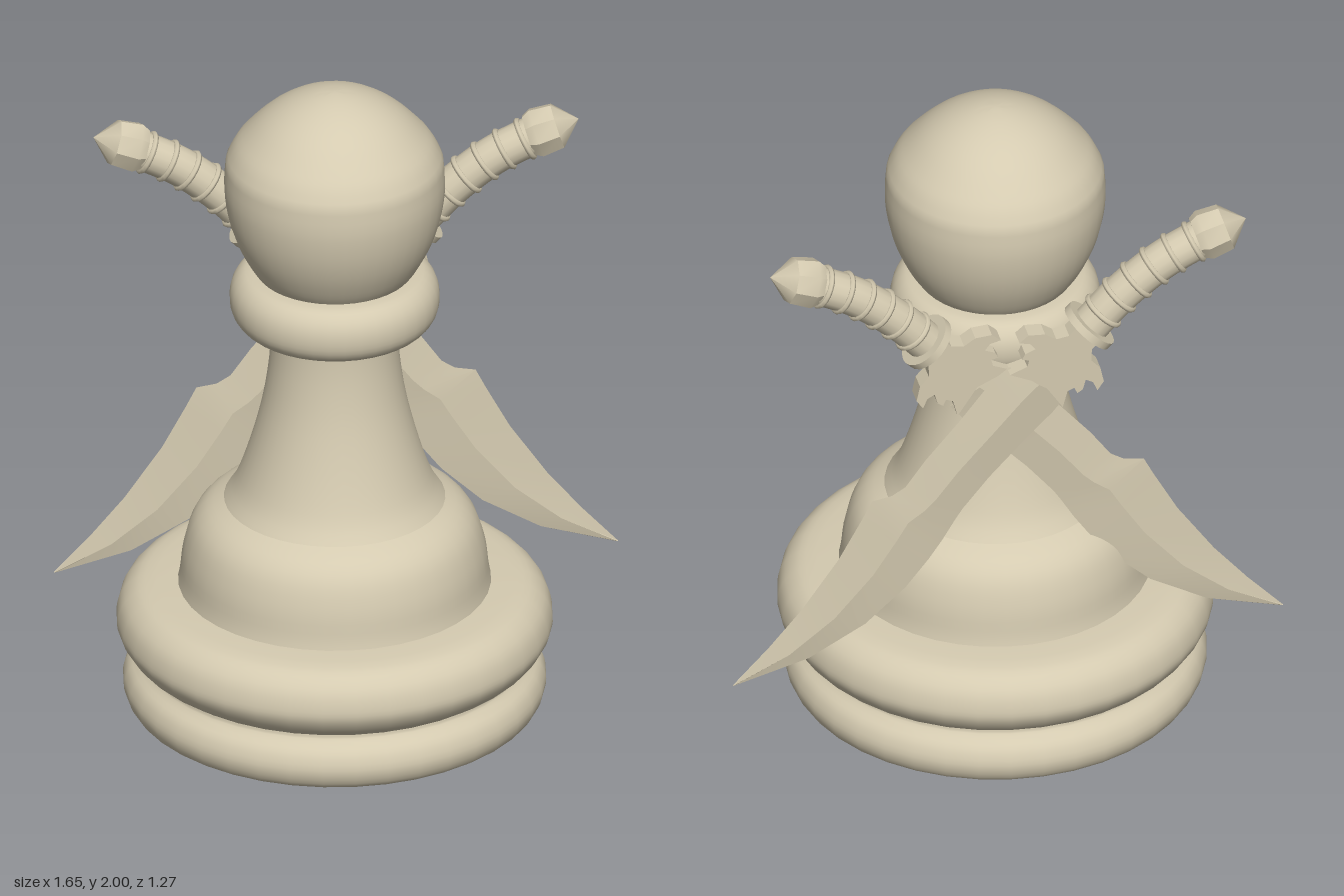
import * as THREE from 'three';
import { toCreasedNormals } from 'three/addons/utils/BufferGeometryUtils.js';

const ivory = new THREE.MeshStandardMaterial({ color: 0xd4cab0 });
ivory.name = 'ivory';

function part(name, geometry, parent) {
  const mesh = new THREE.Mesh(geometry, ivory);
  mesh.name = name;
  parent.add(mesh);
  return mesh;
}

// Smooth run through a few [radius, height] points
function run(points, steps) {
  return new THREE.SplineCurve(points.map(p => new THREE.Vector2(...p))).getPoints(steps);
}

function turned(name, profile, parent, sides = 40) {
  return part(name, toCreasedNormals(new THREE.LatheGeometry(profile, sides), 0.65), parent);
}

function makePawn() {
  const pawn = new THREE.Group();
  pawn.name = 'pawn';
  pawn.position.x = -0.04;
  const axis = y => new THREE.Vector2(0, y);

  turned('base', [axis(0), new THREE.Vector2(0.53, 0.005),
    ...run([[0.565, 0.01], [0.6, 0.03], [0.617, 0.08], [0.602, 0.13], [0.57, 0.16],
      [0.563, 0.18], [0.6, 0.205], [0.63, 0.25], [0.635, 0.29], [0.618, 0.345],
      [0.575, 0.385], [0.52, 0.397]], 36),
    new THREE.Vector2(0.44, 0.4)], pawn);

  turned('shoulder', run([[0.458, 0.39], [0.45, 0.43], [0.44, 0.51], [0.415, 0.59],
    [0.375, 0.64], [0.32, 0.672]], 16), pawn);

  turned('neck', run([[0.325, 0.667], [0.292, 0.72], [0.262, 0.8], [0.23, 0.91],
    [0.205, 1.02], [0.19, 1.13], [0.186, 1.22], [0.19, 1.26]], 20), pawn);

  turned('collar', [new THREE.Vector2(0.17, 1.25),
    ...run([[0.21, 1.243], [0.265, 1.25], [0.298, 1.285], [0.306, 1.335], [0.295, 1.38],
      [0.265, 1.412], [0.22, 1.42]], 20)], pawn);

  turned('head', [...run([[0.222, 1.41], [0.25, 1.45], [0.285, 1.52], [0.31, 1.6],
    [0.322, 1.69], [0.317, 1.775]], 16),
    ...run([[0.317, 1.775], [0.295, 1.82], [0.265, 1.858], [0.205, 1.918], [0.135, 1.964],
      [0.06, 1.992], [0, 2]], 16).slice(1)], pawn);
  return pawn;
}

// Diamond-section blade: each station is [back x, back y, edge x, edge y]
function bladeGeometry() {
  const stations = [
    [0, 1.3, -0.17, 1.17], [0.05, 1.26, -0.13, 1.12], [0.15, 1.13, -0.05, 1.04],
    [0.25, 1.01, 0.06, 0.92], [0.31, 0.925, 0.14, 0.82], [0.35, 0.9, 0.165, 0.78],
    [0.41, 0.89, 0.2, 0.72], [0.44, 0.83, 0.24, 0.66], [0.51, 0.7, 0.31, 0.57],
    [0.62, 0.54, 0.43, 0.46], [0.72, 0.42, 0.6, 0.365], [0.827, 0.305, 0.825, 0.303],
  ];
  const positions = [], index = [];
  stations.forEach(([ux, uy, lx, ly], i) => {
    const mx = (ux + lx) / 2, my = (uy + ly) / 2;
    const t = i === stations.length - 1 ? 0.001 : 0.018 - 0.0008 * i;
    positions.push(ux, uy, 0, mx, my, t, lx, ly, 0, mx, my, -t);
    if (i === 0) return;
    for (let k = 0; k < 4; k++) {
      const a = (i - 1) * 4 + k, b = (i - 1) * 4 + (k + 1) % 4;
      index.push(a, b, a + 4, b, b + 4, a + 4);
    }
  });
  index.push(0, 3, 1, 1, 3, 2);
  const g = new THREE.BufferGeometry();
  g.setAttribute('position', new THREE.Float32BufferAttribute(positions, 3));
  g.setIndex(index);
  return toCreasedNormals(g, 0.15);
}

// Flat guard with a hooked finger on each side, running along +x
function guardGeometry() {
  const half = [[0, 0.045], [0.05, 0.045], [0.08, 0.07], [0.085, 0.11], [0.115, 0.15],
    [0.15, 0.155], [0.135, 0.125], [0.14, 0.1], [0.17, 0.115], [0.19, 0.11], [0.18, 0.09],
    [0.2, 0.08], [0.25, 0.105]];
  const outline = [...half.map(([x, y]) => [x, -y]), [0.22, 0], ...half.slice().reverse()];
  const shape = new THREE.Shape(outline.map(p => new THREE.Vector2(...p)));
  const g = new THREE.ExtrudeGeometry(shape, { depth: 0.056, bevelEnabled: false });
  return g.translate(0, 0, -0.028);
}

function makeSword() {
  const sword = new THREE.Group();
  part('blade', bladeGeometry(), sword);

  const guard = part('guard', guardGeometry(), sword);
  guard.position.set(-0.24, 1.41, 0);
  guard.rotation.z = -0.85;

  // Curved grip with raised bands
  const path = new THREE.CatmullRomCurve3([[-0.24, 1.41], [-0.335, 1.51], [-0.455, 1.605],
    [-0.585, 1.673]].map(([x, y]) => new THREE.Vector3(x, y, 0)));
  part('grip', new THREE.TubeGeometry(path, 24, 0.058, 16), sword);

  const place = (mesh, t, from) => {
    mesh.position.copy(path.getPointAt(t));
    mesh.quaternion.setFromUnitVectors(from, path.getTangentAt(t));
  };
  const up = new THREE.Vector3(0, 1, 0), forward = new THREE.Vector3(0, 0, 1);
  for (let i = 0; i < 6; i++) {
    place(part('gripBand', new THREE.TorusGeometry(0.058, 0.009, 6, 20), sword),
      0.14 + i * 0.155, forward);
  }
  const disc = new THREE.CylinderGeometry(0.086, 0.086, 0.024, 24);
  place(part('guardRing', disc, sword), 0, up);

  // Faceted pommel
  const profile = [[0, -0.015], [0.062, -0.015], [0.076, 0.01], [0.07, 0.075], [0, 0.14]]
    .map(p => new THREE.Vector2(...p));
  const pommel = turned('pommel', profile, sword, 8);
  pommel.position.set(-0.575, 1.672, 0);
  pommel.quaternion.setFromUnitVectors(up, new THREE.Vector3(-0.95, 0.3, 0).normalize());
  return sword;
}

export function createModel() {
  const model = new THREE.Group();
  model.name = 'pawnWithSwords';
  model.add(makePawn());

  // Two swords crossed behind the pawn
  [['rearSword', -0.325, 0], ['innerSword', -0.297, Math.PI]].forEach(([name, z, turn]) => {
    const sword = makeSword();
    sword.name = name;
    sword.position.set(-0.004, 0, z);
    sword.rotation.y = turn;
    model.add(sword);
  });
  return model;
}
